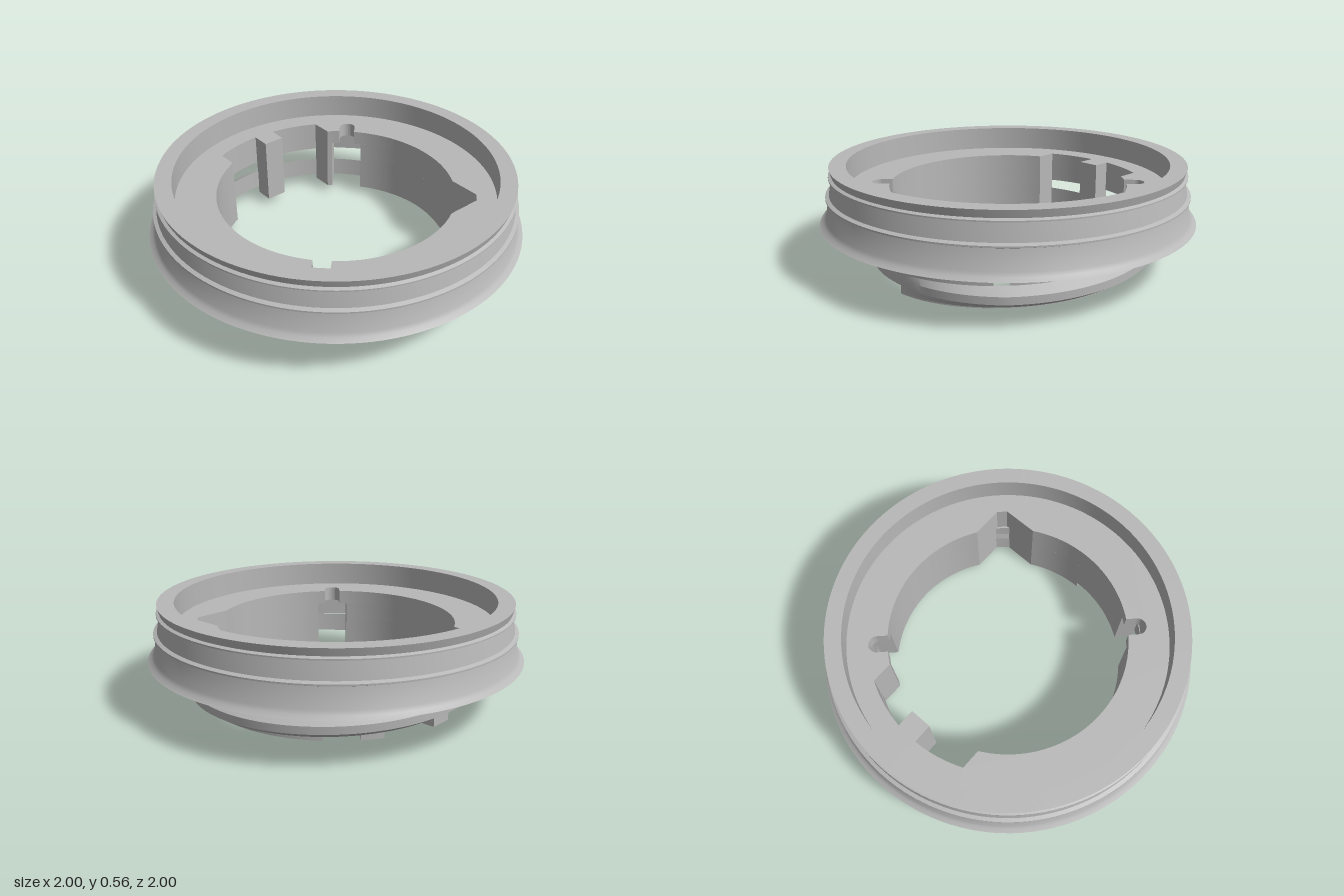
import * as THREE from 'three';
import { toCreasedNormals } from 'three/addons/utils/BufferGeometryUtils.js';

const RAD = Math.PI / 180;
const BORE = 0.635, SLEEVE = 0.735, BASE = 0.045, DECK = 0.26, FLOOR = 0.43;

// Points [x, z] along an arc; angles in degrees from +x towards +z
function arc(r, a0, a1) {
  const n = Math.max(2, Math.ceil(Math.abs(a1 - a0) / 3));
  return Array.from({ length: n + 1 }, (_, i) => {
    const a = (a0 + (a1 - a0) * i / n) * RAD;
    return [r * Math.cos(a), r * Math.sin(a)];
  });
}

const toVecs = pts => pts.map(p => new THREE.Vector2(p[0], p[1]));
const spread = (half, r) => Math.asin(half / r) / RAD;

// Extrude a plan outline down from y = top to y = bottom
function slab(shape, bottom, top) {
  const g = new THREE.ExtrudeGeometry(shape, { depth: top - bottom, bevelEnabled: false });
  return g.rotateX(Math.PI / 2).translate(0, top, 0);
}

// Radial slot reaching out from the bore, round or square at its end
function slot(angle, half, round) {
  const c = Math.cos(angle * RAD), s = Math.sin(angle * RAD);
  const local = round
    ? arc(half, -90, 90).map(p => [0.69 + p[0], p[1]])
    : [[SLEEVE, -half], [SLEEVE, half]];
  return local.map(([u, v]) => [u * c - v * s, u * s + v * c]);
}

// Bore outline with corner notch, two slots, side recess and tab
function boreOutline(half, round) {
  const d = spread(half, BORE);
  return [
    [0.36, -0.53], [0.52, -0.53], [0.56, -0.49], [0.56, -0.3],
    ...arc(BORE, -27.5, 45 - d), ...slot(45, half, round),
    ...arc(BORE, 45 + d, 152.8),
    ...arc(SLEEVE, 156.8, 178.4),
    [-0.63, 0.02], [-0.63, -0.1],
    ...arc(SLEEVE, 187.8, 209.3),
    ...arc(BORE, 214.5, 225 - d), ...slot(225, half, round),
    ...arc(BORE, 225 + d, 303.5),
  ];
}

function plate(half, round, bottom, top) {
  const shape = new THREE.Shape().absarc(0, 0, 0.85, 0, Math.PI * 2);
  shape.holes.push(new THREE.Path(toVecs(boreOutline(half, round))));
  const g = new THREE.ExtrudeGeometry(shape, { depth: top - bottom, bevelEnabled: false, curveSegments: 60 });
  return g.rotateX(Math.PI / 2).translate(0, top, 0);
}

// Helical thread with tapered ends, swept as four-point sections
function threadGeometry() {
  const pos = [], idx = [], steps = 205, total = 410;
  for (let i = 0; i <= steps; i++) {
    const t = total * i / steps, a = -t * RAD;
    const y = 0.06 + 0.0415 * t / 90;
    const grow = Math.min(1, t / 45, (total - t) / 40);
    const out = 0.734 + 0.054 * Math.max(0, grow);
    for (const [r, dy] of [[0.733, -0.055], [out, -0.02], [out, 0.02], [0.733, 0.055]]) {
      pos.push(r * Math.cos(a), Math.min(DECK, Math.max(0, y + dy)), r * Math.sin(a));
    }
    if (i < steps) for (let j = 0; j < 4; j++) {
      const p = i * 4 + j, q = i * 4 + (j + 1) % 4;
      idx.push(p, p + 4, q, q, p + 4, q + 4);
    }
  }
  const g = new THREE.BufferGeometry();
  g.setAttribute('position', new THREE.Float32BufferAttribute(pos, 3));
  g.setIndex(idx);
  return g;
}

export function createModel() {
  const group = new THREE.Group();
  const grey = new THREE.MeshStandardMaterial({ color: 0xb8b8b8 });
  grey.name = 'plain grey';
  const add = (name, geometry) => {
    const mesh = new THREE.Mesh(toCreasedNormals(geometry, 0.4), grey);
    mesh.name = name;
    group.add(mesh);
  };

  // Flared outer ring with two ribs
  const profile = [
    [0.85, 0.26], [1, 0.26], [0.98, 0.275], [0.968, 0.295], [0.948, 0.395],
    [0.963, 0.401], [0.963, 0.409], [0.944, 0.417], [0.928, 0.502],
    [0.943, 0.507], [0.943, 0.514], [0.927, 0.521], [0.938, 0.56],
    [0.85, 0.56], [0.85, FLOOR],
  ];
  add('outerRing', new THREE.LatheGeometry(toVecs(profile), 120));

  // Floor plate: narrow slots above, wider pockets below
  add('floorPlate', plate(0.045, true, 0.35, FLOOR));
  add('pocketPlate', plate(0.088, false, DECK, 0.35));

  // Sleeve sections between the openings; ramped ones reach lower
  const di = spread(0.088, BORE), dd = spread(0.088, SLEEVE);
  const cornerA = Math.atan2(-0.53, 0.509) / RAD, cornerB = Math.atan2(-0.476, 0.56) / RAD;
  const sections = [
    { inner: [[0.56, -0.3], ...arc(BORE, -27.5, 0)], outer: arc(SLEEVE, 0, cornerB), ramp: true },
    { inner: arc(BORE, 0, 45 - di), outer: arc(SLEEVE, 45 - dd, 0) },
    { inner: arc(BORE, 45 + di, 152.8), outer: arc(SLEEVE, 156.8, 45 + dd) },
    { inner: arc(BORE, 214.5, 225 - di), outer: arc(SLEEVE, 225 - dd, 209.3) },
    { inner: arc(BORE, 225 + di, 270), outer: arc(SLEEVE, 270, 225 + dd) },
    { inner: [...arc(BORE, -90, -56.5), [0.36, -0.53]], outer: arc(SLEEVE, cornerA, -90), ramp: true },
  ];
  for (const { inner, outer, ramp } of sections) {
    const g = slab(new THREE.Shape(toVecs([...inner, ...outer])), BASE, DECK);
    const p = g.attributes.position;
    if (ramp) for (let i = 0; i < p.count; i++) {
      if (p.getY(i) < 0.1) p.setY(i, BASE * -Math.atan2(p.getZ(i), p.getX(i)) / (Math.PI / 2));
    }
    add('sleeveSection', g);
  }

  // Upright key bar in the side recess
  add('keyBar', new THREE.BoxGeometry(0.105, DECK - BASE, 0.12).translate(-0.6825, (DECK + BASE) / 2, -0.04));

  add('thread', threadGeometry());
  return group;
}
